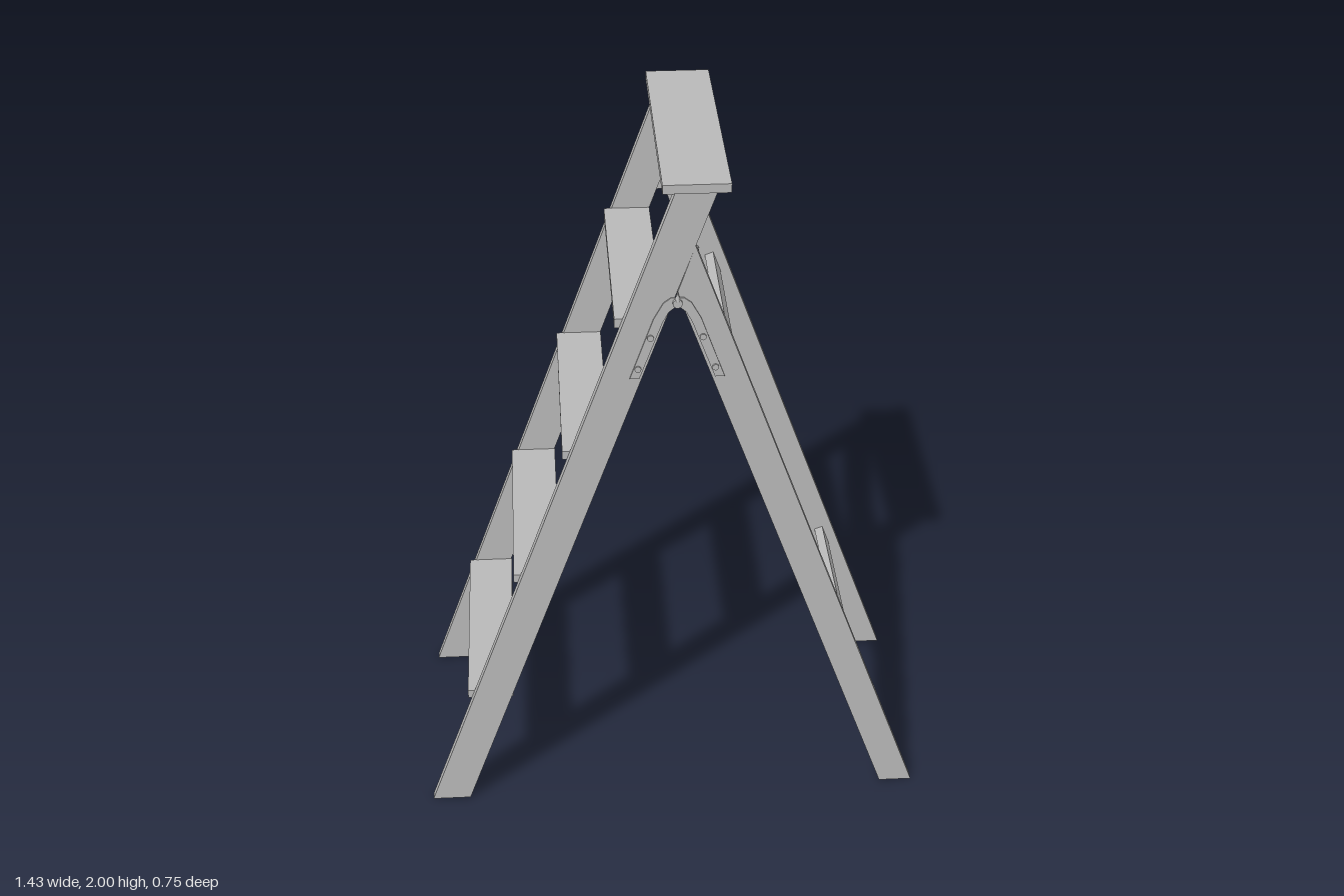
import * as THREE from 'three';

const INNER = 0.331, OUTER = 0.359; // side frame faces in z
const HINGE_X = 0.005;

export function createModel() {
  const grey = new THREE.MeshStandardMaterial({ color: 0xb8b8b8 });
  grey.name = 'plain grey';
  const ladder = new THREE.Group();
  ladder.name = 'stepladder';

  const add = (parent, name, geometry, x = 0, y = 0, z = 0) => {
    const mesh = new THREE.Mesh(geometry, grey);
    mesh.name = name;
    mesh.position.set(x, y, z);
    parent.add(mesh);
    return mesh;
  };
  // Flat board cut from an outline in x and y, between two z values
  const board = (points, z0, z1) => {
    const shape = new THREE.Shape(points.map(p => new THREE.Vector2(...p)));
    return new THREE.ExtrudeGeometry(shape, { depth: z1 - z0, bevelEnabled: false }).translate(0, 0, z0);
  };

  // Side frames: climbing rail, rear leg and hinge on each side
  const rail = board([[-0.72, 0], [-0.61, 0], [0.109, 1.976], [0, 1.976]], INNER, OUTER);
  const leg = board([[0.62, 0], [0.715, 0], [0.052, 1.82], [0.005, 1.685]], INNER, OUTER);

  // Hinge strap outline: one half, mirrored about the pivot
  const half = [[-0.122, 1.432], [-0.096, 1.432], [-0.034, 1.6], [-0.018, 1.63], [-0.004, 1.642]];
  const upper = [[-0.012, 1.672], [-0.032, 1.657], [-0.058, 1.61]];
  const flip = pts => pts.map(([x, y]) => [2 * HINGE_X - x, y]).reverse();
  const strap = board([...half, ...flip(half), ...flip(upper), ...upper], OUTER, OUTER + 0.004);
  const bolt = new THREE.CylinderGeometry(0.009, 0.009, 0.046, 12).rotateX(Math.PI / 2);
  const pivot = new THREE.CylinderGeometry(0.013, 0.013, 0.014, 12).rotateX(Math.PI / 2);
  const bolts = [[-0.066, 1.555], [-0.1, 1.462], [0.073, 1.555], [0.107, 1.462]];

  for (const s of [1, -1]) {
    const side = new THREE.Group();
    side.name = s > 0 ? 'frontSideFrame' : 'backSideFrame';
    add(side, 'climbingRail', rail);
    add(side, 'rearLeg', leg);
    add(side, 'hingeStrap', strap);
    add(side, 'hingePivot', pivot, HINGE_X, 1.658, OUTER + 0.005);
    add(side, 'hingeTip', new THREE.ConeGeometry(0.008, 0.03, 8), HINGE_X, 1.68, OUTER + 0.006);
    bolts.forEach(([x, y]) => add(side, 'hingeBolt', bolt, x, y, (INNER + OUTER) / 2));
    side.scale.z = s;
    ladder.add(side);
  }

  // Top platform
  add(ladder, 'topPlatform', new THREE.BoxGeometry(0.177, 0.025, 0.746), 0.0535, 1.9875, 0);

  // Evenly spaced treads
  const tread = new THREE.BoxGeometry(0.131, 0.026, 0.664);
  for (let i = 0; i < 4; i++) add(ladder, 'tread', tread, -0.535 + i * 0.1468, 0.368 + i * 0.4055, 0);

  // Rear braces, tilted with the legs
  const brace = new THREE.BoxGeometry(0.026, 0.065, 0.664);
  for (const [x, y] of [[0.515, 0.426], [0.157, 1.412]]) {
    add(ladder, 'rearBrace', brace, x, y, 0).rotation.z = Math.atan(0.3645);
  }
  return ladder;
}
